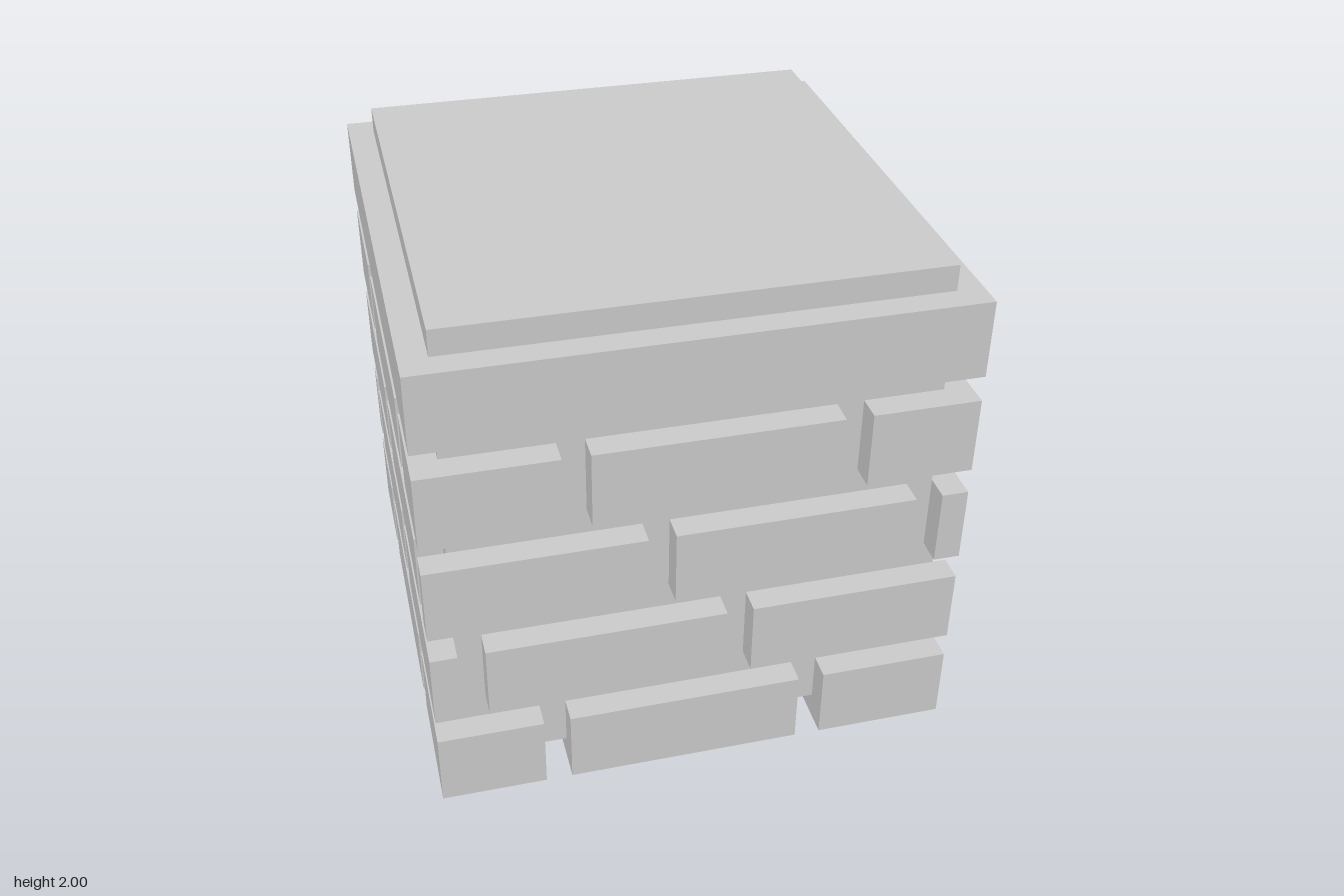
import * as THREE from 'three';

const material = new THREE.MeshStandardMaterial({ color: 0xcccccc, flatShading: true });

// Box given by its minimum and maximum corners
function block(name, [x0, y0, z0], [x1, y1, z1]) {
  const mesh = new THREE.Mesh(new THREE.BoxGeometry(x1 - x0, y1 - y0, z1 - z0), material);
  mesh.position.set((x0 + x1) / 2, (y0 + y1) / 2, (z0 + z1) / 2);
  mesh.name = name;
  return mesh;
}

// Bottom slab: a square with its corners notched out, carrying the middle bricks of the lowest course
function baseSlab() {
  const points = [];
  for (let k = 0; k < 4; k++) {
    for (let [x, y] of [[-0.5, -1], [0.4, -1], [0.4, -0.5]]) {
      for (let i = 0; i < k; i++) [x, y] = [-y, x];
      points.push(new THREE.Vector2(x, y));
    }
  }
  const geometry = new THREE.ExtrudeGeometry(new THREE.Shape(points), { depth: 0.3, bevelEnabled: false });
  geometry.rotateX(-Math.PI / 2);
  const mesh = new THREE.Mesh(geometry, material);
  mesh.name = 'baseSlab';
  return mesh;
}

export function createModel() {
  const group = new THREE.Group();
  group.name = 'brickPillar';

  // Mortar core, cap course and bottom slab
  group.add(block('mortarCore', [-0.9, 0.1, -0.9], [0.9, 2, 0.9]));
  group.add(block('capCourse', [-1, 1.6, -1], [1, 1.9, 1]));
  group.add(baseSlab());

  // Each course: end of the left brick, span of the middle brick, start of the right brick
  const courses = [
    [-0.6, -0.5, 0.4, 0.5],
    [-0.9, -0.8, 0.1, 0.2],
    [-0.2, -0.1, 0.8, 0.9],
    [-0.5, -0.4, 0.5, 0.6],
  ];

  // The same bricks repeat around the four sides; corner bricks wrap onto the next side
  courses.forEach(([leftEnd, midStart, midEnd, rightStart], row) => {
    const y0 = row * 0.4, y1 = y0 + 0.3;
    for (let k = 0; k < 4; k++) {
      const side = new THREE.Group();
      side.name = `course${row + 1}Side${k + 1}`;
      side.rotation.y = k * Math.PI / 2;
      side.add(block('cornerBrick', [-1, y0, rightStart], [leftEnd, y1, 1]));
      if (row > 0) side.add(block('middleBrick', [midStart, y0, 0.9], [midEnd, y1, 1]));
      group.add(side);
    }
  });

  return group;
}
